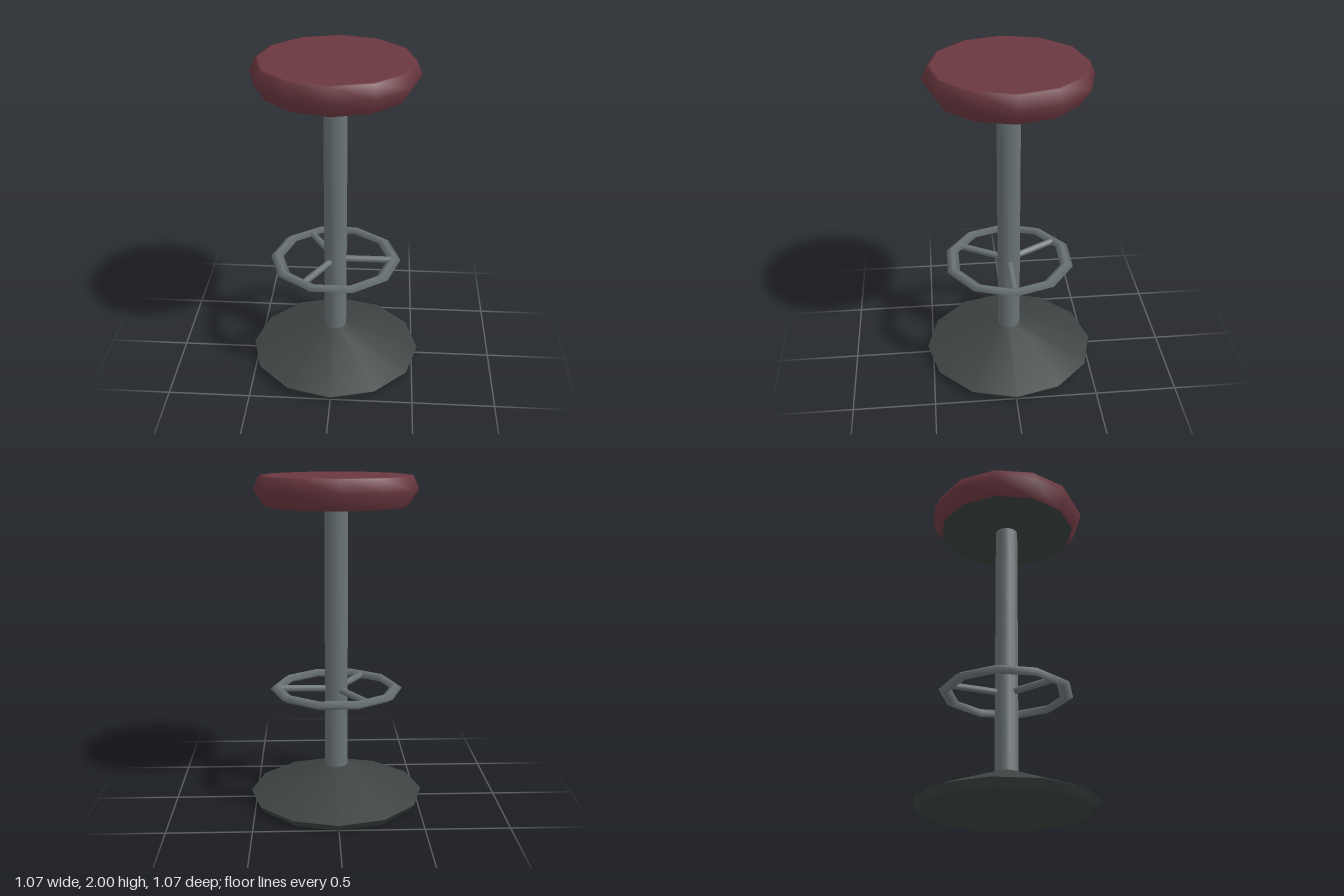
import * as THREE from 'three';

const material = (color) => new THREE.MeshStandardMaterial({ color });

export function createModel() {
  const stool = new THREE.Group();
  stool.name = 'barStool';
  const leather = material(0x6b3840);
  const steel = material(0x6a7376);
  const iron = material(0x3d4342);

  const add = (name, geometry, mat, parent = stool) => {
    const mesh = new THREE.Mesh(geometry, mat);
    mesh.name = name;
    parent.add(mesh);
    return mesh;
  };
  // Revolved profile of [radius, height] pairs, listed from bottom to top
  const lathe = (profile, sides, start = 0) =>
    new THREE.LatheGeometry(profile.map(([r, y]) => new THREE.Vector2(r, y)), sides, start);
  // Downward-facing disc, with a corner on each axis
  const underside = (name, radius, y) => {
    const disc = add(name, new THREE.CircleGeometry(radius, 12), iron);
    disc.rotation.x = Math.PI / 2;
    disc.position.y = y;
  };

  // Flared floor base
  add('baseRim', lathe([[0.5, 0], [0.535, 0.045]], 12), iron);
  add('baseCone', lathe([[0.535, 0.045], [0.075, 0.22], [0, 0.22]], 12), iron);
  underside('baseUnderside', 0.5, 0);

  // Central pole
  const pole = add('pole', new THREE.CylinderGeometry(0.07, 0.07, 1.62, 16, 1, true), steel);
  pole.position.y = 1.02;

  // Padded seat
  add('seatCushion', lathe([[0.425, 1.825], [0.485, 1.92], [0.45, 1.997], [0.435, 2], [0, 2]], 12), leather);
  underside('seatUnderside', 0.425, 1.825);

  // Ten-sided footrest with three spokes
  const footrest = new THREE.Group();
  footrest.name = 'footrest';
  footrest.position.y = 0.71;
  stool.add(footrest);
  const section = [[0.365, -0.026], [0.405, 0], [0.365, 0.026], [0.325, 0], [0.365, -0.026]];
  add('footrestRing', lathe(section, 10, Math.PI / 2), steel, footrest);
  for (let i = 0; i < 3; i++) {
    const spoke = new THREE.Group();
    spoke.name = 'footrestSpoke';
    spoke.rotation.y = (i * Math.PI * 2) / 3;
    footrest.add(spoke);
    const bar = add('spokeBar', new THREE.CylinderGeometry(0.021, 0.021, 0.3, 8), steel, spoke);
    bar.rotation.z = Math.PI / 2;
    bar.position.x = 0.2;
  }
  return stool;
}
